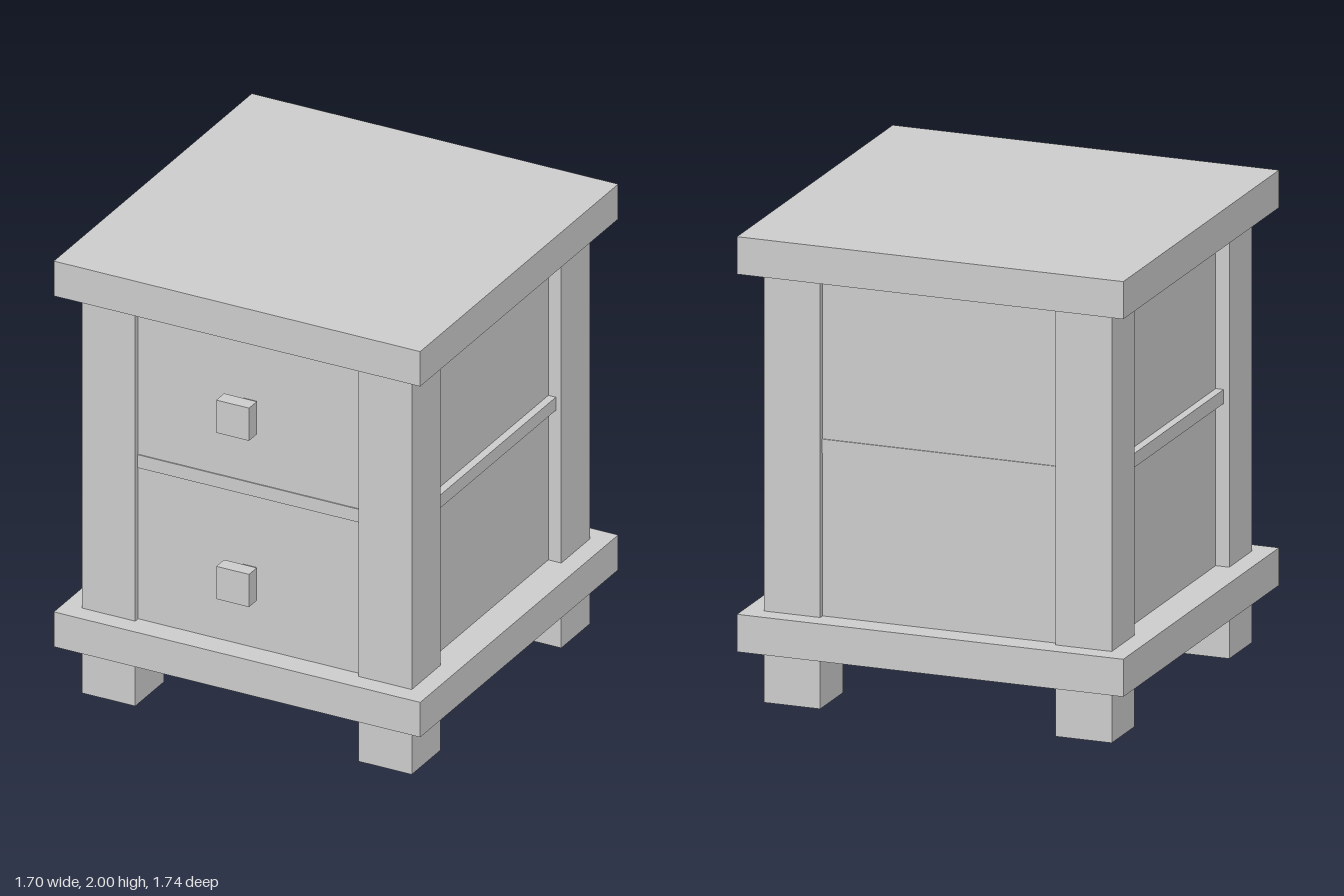
import * as THREE from 'three';

const CENTER_Z = -0.015; // the cabinet sits back slightly to make room for the knobs

export function createModel() {
  const model = new THREE.Group();
  model.name = 'nightstand';
  const material = new THREE.MeshStandardMaterial({ color: 0xcccccc, flatShading: true });

  // Box given by its extents along each axis
  const addBox = (name, [x0, x1], [y0, y1], [z0, z1], parent = model) => {
    const mesh = new THREE.Mesh(new THREE.BoxGeometry(x1 - x0, y1 - y0, z1 - z0), material);
    mesh.position.set((x0 + x1) / 2, (y0 + y1) / 2, (z0 + z1) / 2);
    mesh.name = name;
    parent.add(mesh);
    return mesh;
  };

  // Cabinet, built around its own centre
  const cabinet = new THREE.Group();
  cabinet.name = 'cabinet';
  cabinet.position.z = CENTER_Z;
  model.add(cabinet);

  // Overhanging slabs
  addBox('tableTop', [-0.85, 0.85], [1.84, 2], [-0.85, 0.85], cabinet);
  addBox('baseBoard', [-0.85, 0.85], [0.23, 0.39], [-0.85, 0.85], cabinet);

  // Corner posts and the feet below them
  for (const sx of [-1, 1]) {
    for (const sz of [-1, 1]) {
      const x = sx > 0 ? [0.518, 0.765] : [-0.765, -0.518];
      const z = sz > 0 ? [0.518, 0.765] : [-0.765, -0.518];
      addBox('cornerPost', x, [0.39, 1.84], z, cabinet);
      addBox('foot', x, [0, 0.23], z, cabinet);
    }
  }

  // Deeply recessed side panels, nearly flush drawer fronts and back panels
  const tiers = [[0.39, 1.085], [1.145, 1.84]];
  for (const y of tiers) {
    for (const s of [-1, 1]) {
      const side = s > 0 ? [0.65, 0.705] : [-0.705, -0.65];
      const face = s > 0 ? [0.68, 0.74] : [-0.74, -0.68];
      addBox('sidePanel', side, y, [-0.518, 0.518], cabinet);
      addBox(s > 0 ? 'drawerFront' : 'backPanel', [-0.518, 0.518], y, face, cabinet);
    }
  }

  // Middle shelf, showing as a rail on every side (notched around the posts)
  addBox('shelf', [-0.74, 0.74], [1.085, 1.145], [-0.518, 0.518], cabinet);
  for (const z of [[-0.745, -0.518], [0.518, 0.745]]) {
    addBox('shelfRail', [-0.518, 0.518], [1.085, 1.145], z, cabinet);
  }

  // Square drawer knobs on short stems
  for (const y of [0.73, 1.493]) {
    const knob = new THREE.Group();
    knob.name = 'drawerKnob';
    knob.position.y = y;
    model.add(knob);
    addBox('knobStem', [-0.03, 0.03], [-0.03, 0.03], [0.72, 0.805], knob);
    addBox('knobHead', [-0.076, 0.076], [-0.075, 0.075], [0.805, 0.872], knob);
  }

  return model;
}
